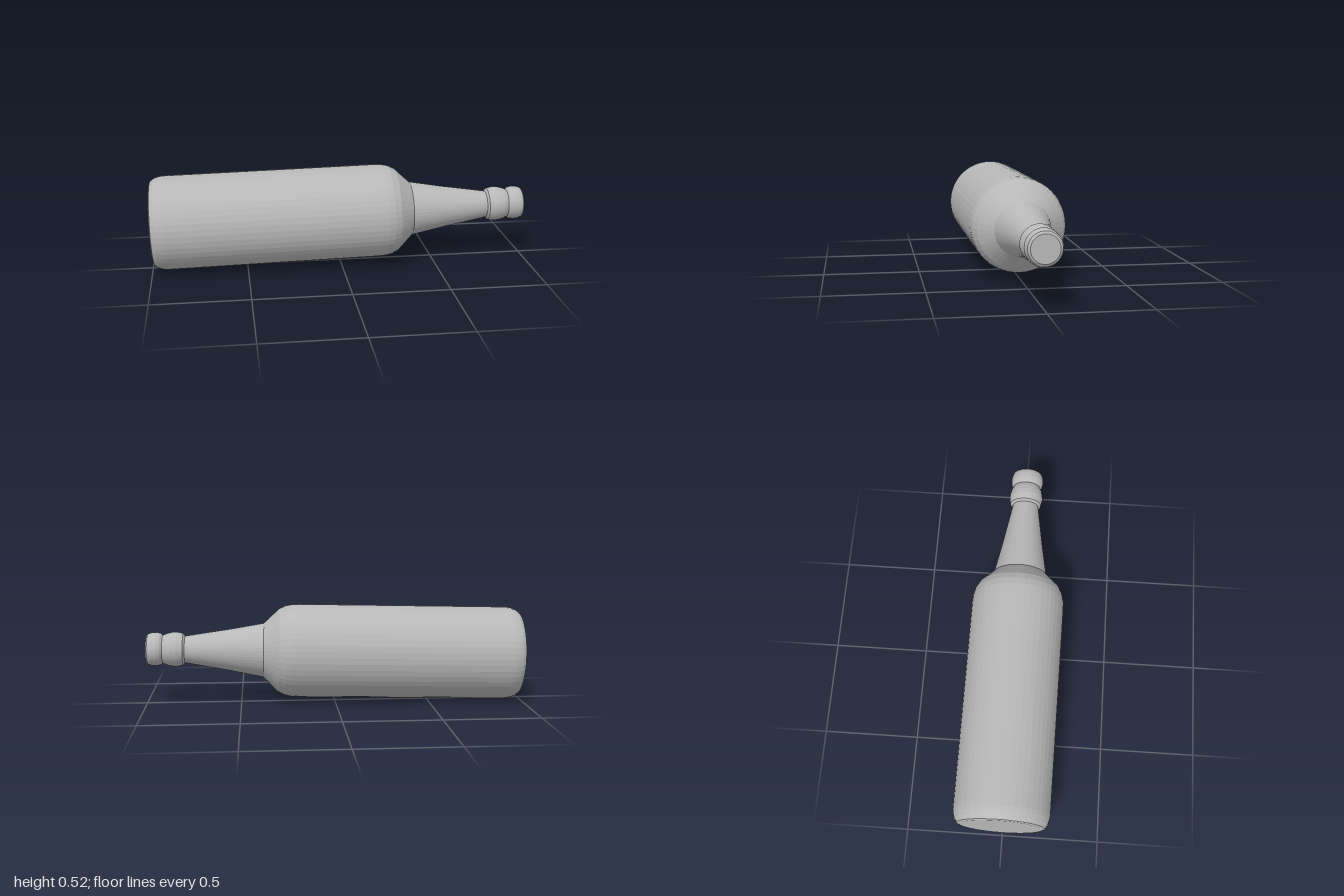
import * as THREE from 'three';

export function createModel() {
  const glass = new THREE.MeshStandardMaterial({ color: 0xb8b8b8, flatShading: true });
  glass.name = 'plainGrey';

  const bottle = new THREE.Group();
  bottle.name = 'bottle';

  // Each part is a turned profile of [radius, distance along the axis], base to tip
  const turn = (name, profile) => {
    const points = profile.map(([r, t]) => new THREE.Vector2(r, t));
    const mesh = new THREE.Mesh(new THREE.LatheGeometry(points, 48), glass);
    mesh.name = name;
    bottle.add(mesh);
  };

  // Flat base with a rounded lower edge
  turn('base', [[0, -0.995], [0.208, -0.995], [0.222, -0.99], [0.237, -0.97], [0.245, -0.945], [0.248, -0.925]]);
  turn('body', [[0.248, -0.925], [0.248, 0.19]]);
  turn('shoulder', [[0.248, 0.19], [0.246, 0.23], [0.239, 0.265], [0.222, 0.3], [0.144, 0.38]]);
  turn('neck', [[0.144, 0.38], [0.11, 0.56], [0.071, 0.795]]);
  turn('neckRing', [[0.071, 0.795], [0.085, 0.805], [0.092, 0.84], [0.09, 0.865], [0.084, 0.89], [0.074, 0.912]]);
  // Closed cap at the mouth
  turn('cap', [[0.074, 0.912], [0.085, 0.925], [0.089, 0.945], [0.087, 0.97], [0.08, 0.99], [0.068, 0.998], [0, 0.998]]);

  // Lay the bottle on its side, the neck tipped slightly up and forward
  const axis = new THREE.Vector3(1, 0.022, 0.007).normalize();
  bottle.quaternion.setFromUnitVectors(new THREE.Vector3(0, 1, 0), axis);
  bottle.position.set(0, 0.27, 0.001);

  const model = new THREE.Group();
  model.name = 'lyingBottle';
  model.add(bottle);
  return model;
}
